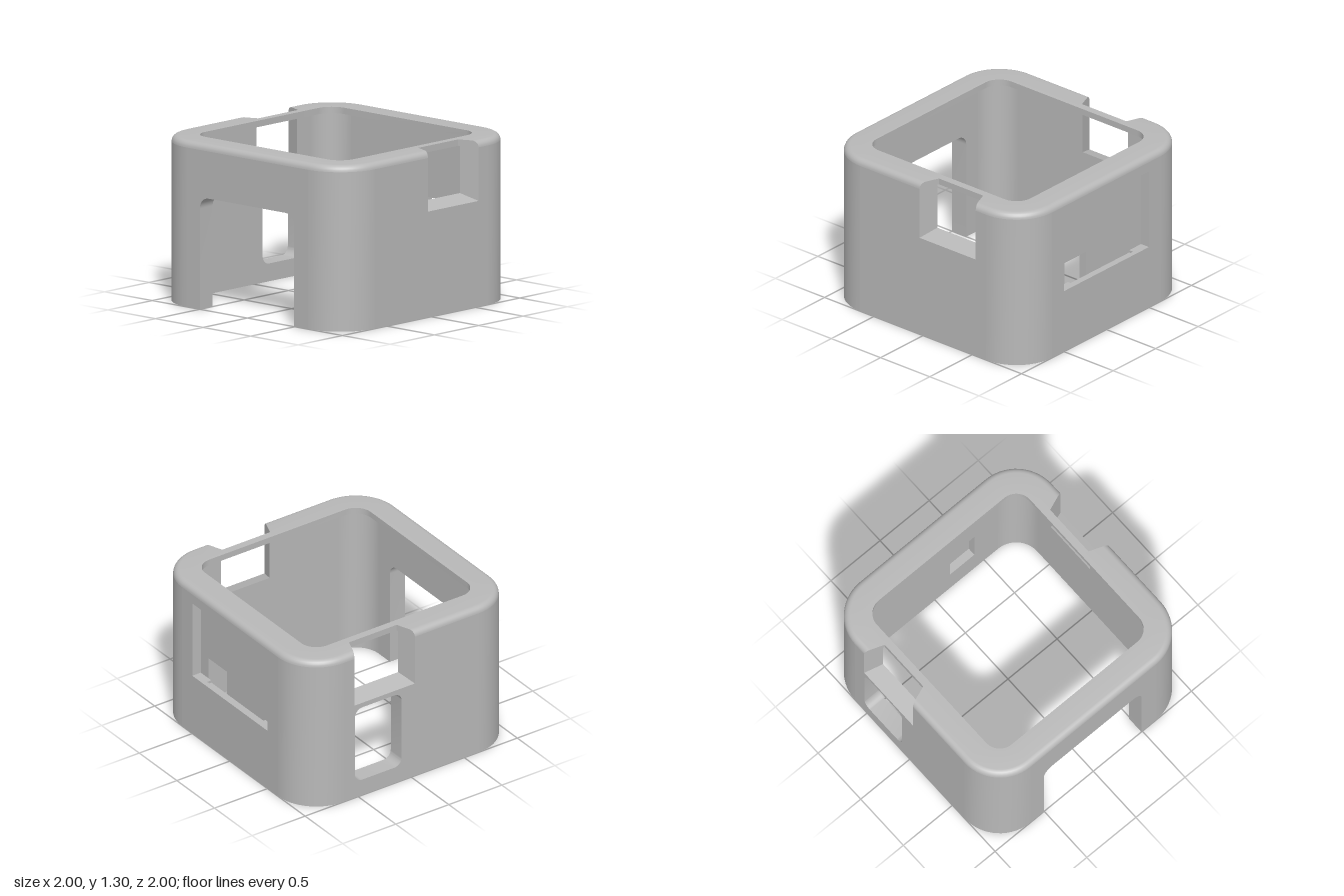
import * as THREE from 'three';
import { toCreasedNormals } from 'three/addons/utils/BufferGeometryUtils.js';

const C = 0.64, R = 0.36;            // corner centres and outer corner radius
const WALL = 0.145, LIP = 0.22;      // wall thickness, width of the top rim
const TOP = 1.3, EAVE = 1.25;        // overall height, underside of the rim
const N_FRONT = 0.035, N_BACK = -0.535, TAPER = 0.055, SILL = 0.83; // side notches

// Sweep a convex (inset, y) profile along sections { x, z, a, skew }
function sweep(profile, sections) {
  const n = profile.length, pos = [], idx = [];
  for (const s of sections) {
    for (const [off, y] of profile) {
      pos.push(s.x + (R - off) * Math.cos(s.a), y, s.z + (R - off) * Math.sin(s.a) + (s.skew || 0) * off);
    }
  }
  const last = (sections.length - 1) * n;
  for (let i = 0; i < last; i += n) {
    for (let j = 0; j < n; j++) {
      const k = (j + 1) % n;
      idx.push(i + j, i + k, i + n + j, i + k, i + n + k, i + n + j);
    }
  }
  for (let j = 1; j < n - 1; j++) idx.push(0, j + 1, j, last, last + j, last + j + 1);
  const g = new THREE.BufferGeometry();
  g.setAttribute('position', new THREE.Float32BufferAttribute(pos, 3));
  g.setIndex(idx);
  return toCreasedNormals(g, 0.5);
}

// Quarter-turn sections round the corner number q (0 = +x+z, 1 = -x+z, ...)
function corner(q) {
  const x = q === 0 || q === 3 ? C : -C, z = q < 2 ? C : -C;
  return Array.from({ length: 15 }, (_, i) => ({ x, z, a: (q + i / 14) * Math.PI / 2 }));
}

const poly = (pts) => new THREE.Shape(pts.map(([x, y]) => new THREE.Vector2(x, y)));
const rect = (x0, x1, y0, y1) => poly([[x0, y0], [x1, y0], [x1, y1], [x0, y1]]);

function roundRect(x0, x1, y0, y1, r) {
  const s = new THREE.Shape();
  s.absarc(x1 - r, y0 + r, r, -Math.PI / 2, 0);
  s.absarc(x1 - r, y1 - r, r, 0, Math.PI / 2);
  s.absarc(x0 + r, y1 - r, r, Math.PI / 2, Math.PI);
  s.absarc(x0 + r, y0 + r, r, Math.PI, Math.PI * 1.5);
  s.closePath();
  return s;
}

function extrude(shape, depth, hole) {
  if (hole) shape.holes.push(hole);
  const g = new THREE.ExtrudeGeometry(shape, { depth, bevelEnabled: false, curveSegments: 8 });
  return toCreasedNormals(g, 0.5);
}

// Upright prism from a plan outline of (x, z) points
const prism = (pts, y0, y1) =>
  extrude(poly(pts.map(([x, z]) => [x, -z])), y1 - y0).rotateX(-Math.PI / 2).translate(0, y0, 0);

export function createModel() {
  const group = new THREE.Group();
  const grey = new THREE.MeshStandardMaterial({ color: 0xb8b8b8 });
  grey.name = 'plainGrey';
  const add = (name, geometry) => {
    const m = new THREE.Mesh(geometry, grey);
    m.name = name;
    group.add(m);
  };

  // Rounded corner posts
  const post = [[0, 0], [0, EAVE], [WALL, EAVE], [WALL, 0]];
  for (let q = 0; q < 4; q++) add('cornerPost', sweep(post, corner(q)));

  // Top rim with a rounded outer edge, in two halves split by the side notches
  const f = TOP - EAVE, rim = [];
  for (let i = 0; i <= 6; i++) {
    const t = i / 6 * Math.PI / 2;
    rim.push([f - f * Math.cos(t), EAVE + f * Math.sin(t)]);
  }
  rim.push([LIP, TOP], [LIP, EAVE]);
  const k = TAPER / WALL;
  add('frontRim', sweep(rim, [
    { x: C, z: N_FRONT, a: 0, skew: -k }, ...corner(0), ...corner(1),
    { x: -C, z: N_FRONT, a: Math.PI, skew: -k }]));
  add('backRim', sweep(rim, [
    { x: -C, z: N_BACK, a: Math.PI, skew: k }, ...corner(2), ...corner(3),
    { x: C, z: N_BACK, a: Math.PI * 2, skew: k }]));

  // Front wall with the doorway
  const d0 = -0.5, d1 = 0.49, dTop = 0.88, r = 0.09;
  const front = new THREE.Shape();
  front.moveTo(-C, 0);
  front.lineTo(d0, 0);
  front.absarc(d0 + r, dTop - r, r, Math.PI, Math.PI / 2, true);
  front.absarc(d1 - r, dTop - r, r, Math.PI / 2, 0, true);
  front.lineTo(d1, 0);
  front.lineTo(C, 0);
  front.lineTo(C, EAVE);
  front.lineTo(-C, EAVE);
  add('frontWall', extrude(front, WALL).translate(0, 0, 1 - WALL));

  // Back wall in three layers: recess, recess with slide grooves, inner skin with window
  const b0 = 0.52, b1 = 1.17, w = 0.5, gw = 0.36, gd = 0.02;
  const grooved = poly([
    [-w, b0], [-gw, b0], [-gw, b0 - gd], [gw, b0 - gd], [gw, b0], [w, b0],
    [w, b1], [gw, b1], [gw, b1 + gd], [-gw, b1 + gd], [-gw, b1], [-w, b1]]);
  const layers = [
    ['backRecess', -1, -0.96, rect(-w, w, b0, b1)],
    ['backRecessGrooves', -0.96, -0.92, grooved],
    ['backInnerSkin', -0.92, -1 + WALL, rect(0.15, 0.4, 0.3, 0.7)],
  ];
  for (const [name, z0, z1, hole] of layers) {
    add(name, extrude(rect(-C, C, 0, EAVE), z1 - z0, hole).translate(0, 0, z0));
  }

  // Side walls with tapered notches; one side also has a rounded window
  const inner = 1 - WALL;
  for (const s of [1, -1]) {
    const side = s > 0 ? 'left' : 'right';
    const hole = s < 0 ? roundRect(0.09, 0.53, 0.14, 0.79, 0.07) : null;
    add(side + 'Wall', extrude(rect(-C, C, 0, SILL), WALL, hole)
      .rotateY(Math.PI / 2).translate(s > 0 ? inner : -1, 0, 0));
    add(side + 'NotchFront', prism(
      [[s, C], [s, N_FRONT], [s * inner, N_FRONT - TAPER], [s * inner, C]], SILL, EAVE));
    add(side + 'NotchBack', prism(
      [[s, -C], [s, N_BACK], [s * inner, N_BACK + TAPER], [s * inner, -C]], SILL, EAVE));
    // Sloping sill
    add(side + 'NotchSill', extrude(
      poly([[s, SILL], [s * inner, SILL], [s * inner, SILL + 0.05]]), N_FRONT - N_BACK)
      .translate(0, 0, N_BACK));
    // Thin bar bridging the notch
    const bar = new THREE.BoxGeometry(0.062, f, 0.47);
    add(side + 'NotchBar', bar.translate(s * 0.811, (TOP + EAVE) / 2, -0.25));
  }
  return group;
}
